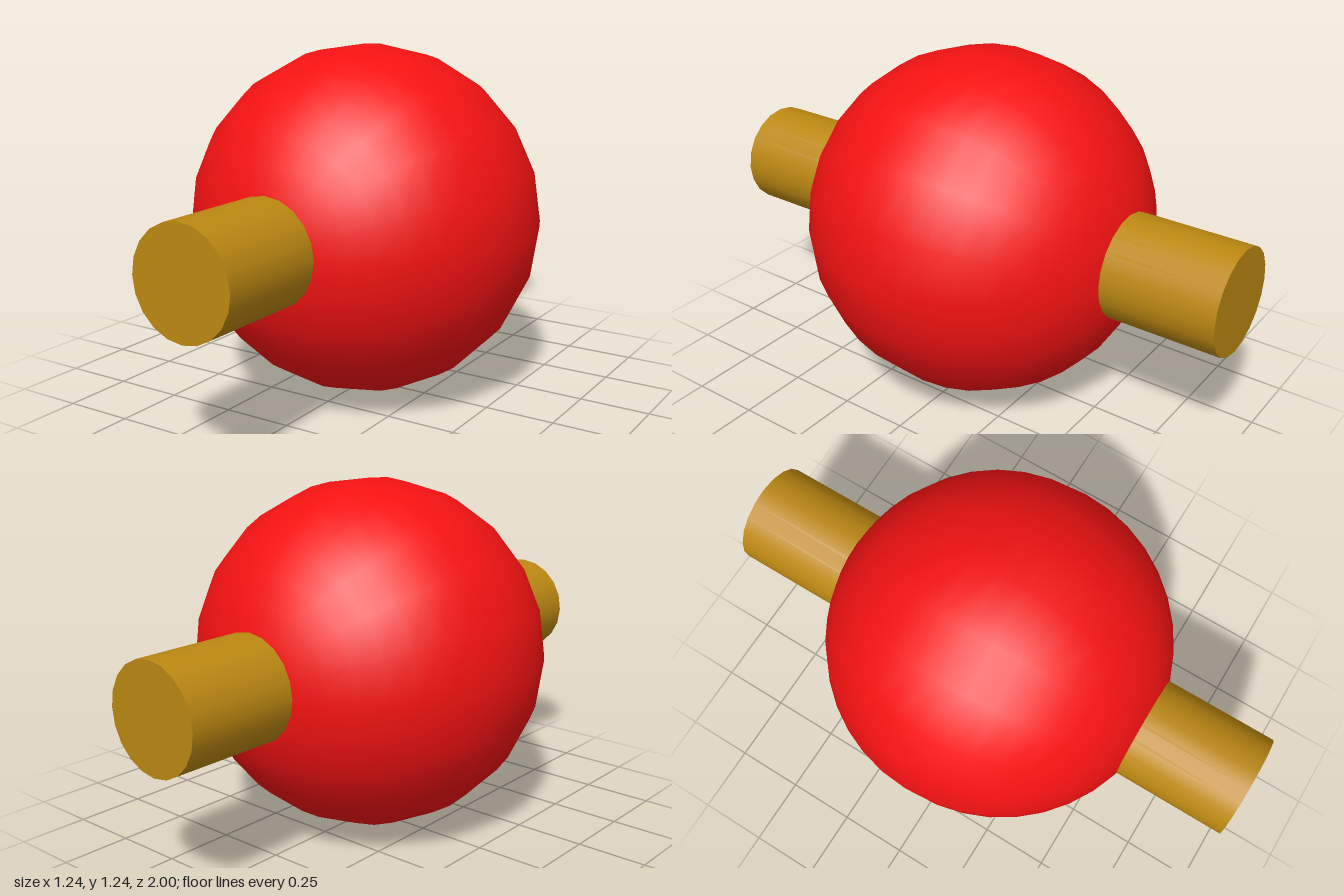
import * as THREE from 'three';

export function createModel() {
  const group = new THREE.Group();
  const centerY = 0.626, ballRadius = 0.622, rodRadius = 0.186;

  // Ball, with its poles on the z axis
  const ball = new THREE.Mesh(
    new THREE.SphereGeometry(ballRadius, 20, 20).rotateX(Math.PI / 2),
    new THREE.MeshStandardMaterial({ color: 0xf51212 })
  );
  ball.name = 'ball';
  ball.position.y = centerY;
  group.add(ball);

  // Rod running front to back through the ball
  const rod = new THREE.Mesh(
    new THREE.CylinderGeometry(rodRadius, rodRadius, 2, 20).rotateX(Math.PI / 2),
    new THREE.MeshStandardMaterial({ color: 0xbc8812 })
  );
  rod.name = 'rod';
  rod.position.y = centerY;
  group.add(rod);

  return group;
}
